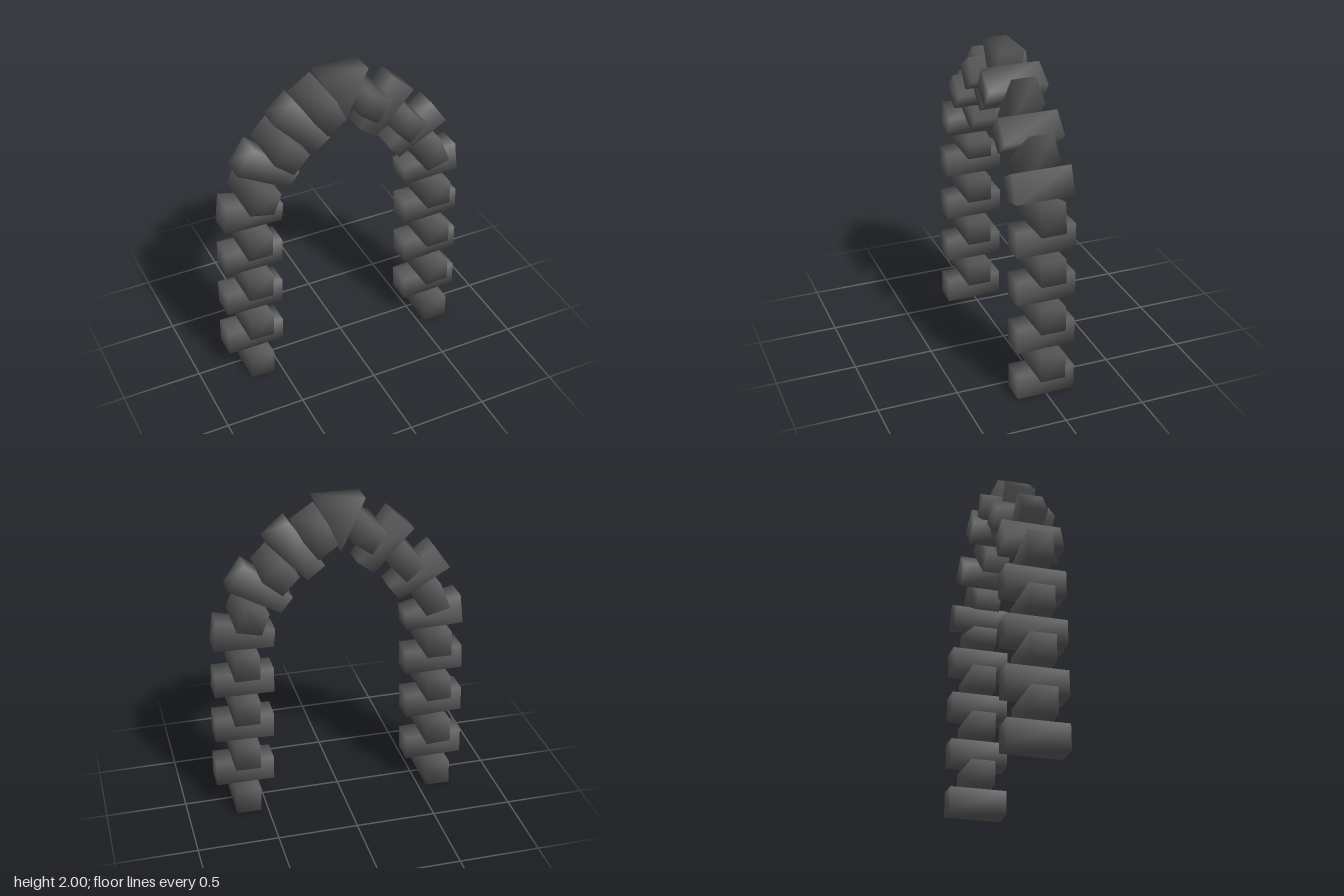
import * as THREE from 'three';

// Joints of one half of the arch, springing to crown: [outer x, outer y, inner x, inner y]
const JOINTS = [
  [0.81, 0, 0.441, 0],
  [0.807, 0.16, 0.439, 0.157],
  [0.805, 0.323, 0.437, 0.312],
  [0.8, 0.481, 0.433, 0.471],
  [0.798, 0.64, 0.429, 0.632],
  [0.792, 0.794, 0.423, 0.788],
  [0.787, 0.947, 0.421, 0.947],
  [0.785, 1.111, 0.419, 1.1],
  [0.763, 1.302, 0.407, 1.215],
  [0.686, 1.497, 0.368, 1.32],
  [0.58, 1.65, 0.296, 1.413],
  [0.45, 1.778, 0.204, 1.516],
  [0.315, 1.895, 0.098, 1.598],
  [0.148, 2, 0, 1.675],
];
const CENTRE = -0.004;
const DEEP = 0.183, SHALLOW = 0.077;

// Prism along z with shared corners, so the normals blend over the edges
function prism(outline, halfDepth) {
  const pts = outline.map(([x, y]) => new THREE.Vector2(x, y));
  if (THREE.ShapeUtils.area(pts) < 0) pts.reverse();
  const n = pts.length, position = [], index = [];
  for (const z of [halfDepth, -halfDepth]) pts.forEach((p) => position.push(p.x, p.y, z));
  for (let i = 0; i < n; i++) {
    const j = (i + 1) % n;
    index.push(i, n + i, n + j, i, n + j, j);
    if (i > 0 && i < n - 1) index.push(0, i, i + 1, n, n + i + 1, n + i);
  }
  const g = new THREE.BufferGeometry();
  g.setAttribute('position', new THREE.Float32BufferAttribute(position, 3));
  g.setIndex(index);
  g.computeVertexNormals();
  return g;
}

// Point at fraction t from the outer to the inner end of a joint
const along = ([ox, oy, ix, iy], t, side) => [
  CENTRE + side * (ox + (ix - ox) * t),
  oy + (iy - oy) * t,
];

export function createModel() {
  const arch = new THREE.Group();
  arch.name = 'arch';
  const stone = new THREE.MeshStandardMaterial({ color: 0x5c5c5c });
  stone.name = 'dark stone';

  const add = (parent, name, outline, halfDepth) => {
    const mesh = new THREE.Mesh(prism(outline, halfDepth), stone);
    mesh.name = name;
    parent.add(mesh);
  };

  // Two mirrored halves of alternating narrow deep and wide shallow blocks
  for (const side of [1, -1]) {
    const half = new THREE.Group();
    half.name = side > 0 ? 'leftHalf' : 'rightHalf';
    for (let i = 0; i < JOINTS.length - 1; i++) {
      const deep = i % 2 === 0;
      const [a, b] = deep ? [0.29, 0.71] : [0, 1];
      const low = JOINTS[i], high = JOINTS[i + 1];
      add(half, deep ? 'deepBlock' : 'wideBlock', [
        along(low, a, side), along(low, b, side),
        along(high, b, side), along(high, a, side),
      ], deep ? DEEP : SHALLOW);
    }
    arch.add(half);
  }

  // Keystone between the two last joints
  const crown = JOINTS[JOINTS.length - 1];
  add(arch, 'keystone', [along(crown, 0, 1), along(crown, 0, -1), along(crown, 1, 1)], SHALLOW);
  return arch;
}
